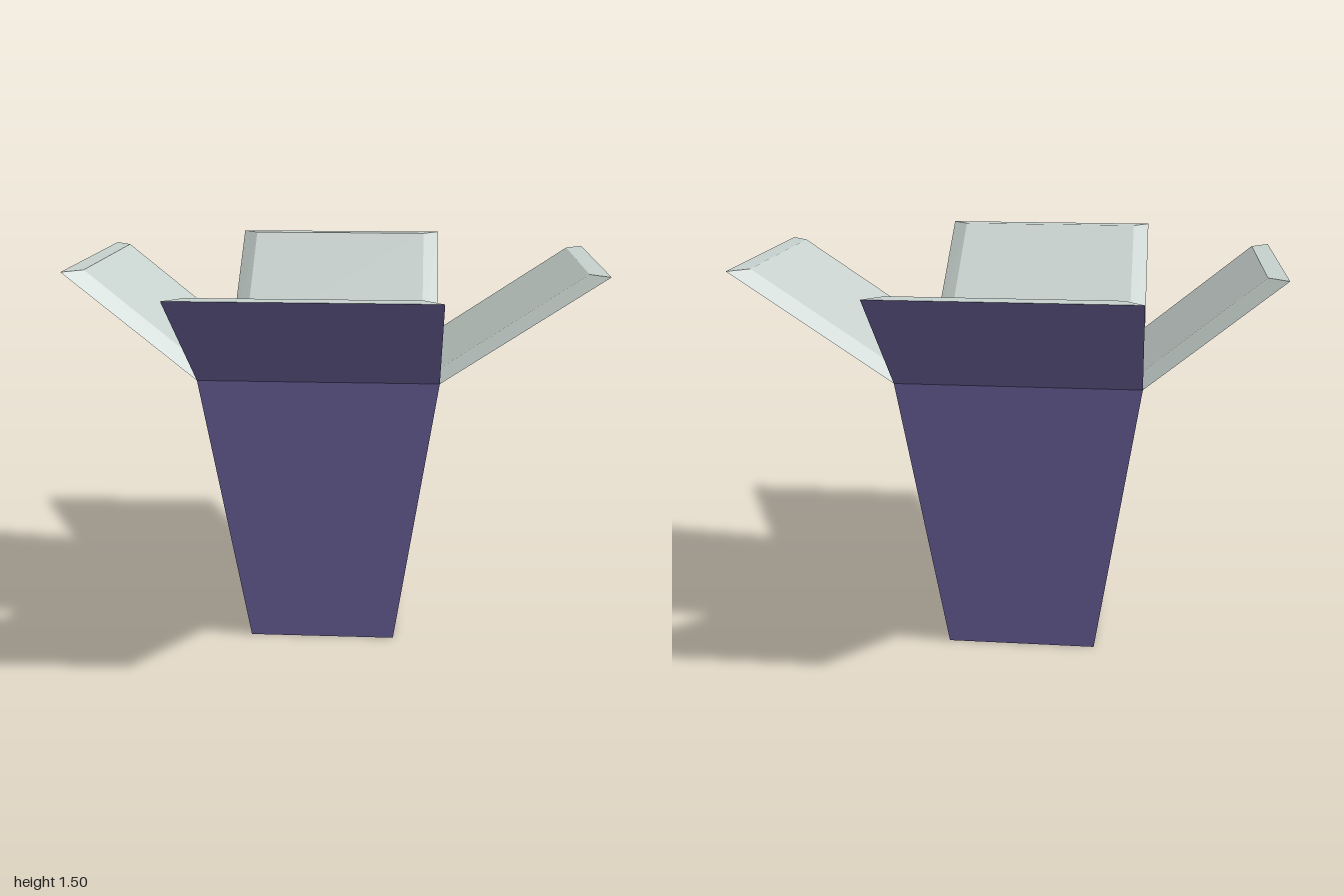
import * as THREE from 'three';

const purple = new THREE.MeshStandardMaterial({ color: 0x6f649f });
purple.name = 'purple card';
const paleGrey = new THREE.MeshStandardMaterial({ color: 0xc6d0cc });
paleGrey.name = 'pale grey lining';
paleGrey.side = THREE.DoubleSide;

// Flat quads, corners counter-clockwise as seen from the visible side
function quads(name, material, list) {
  const points = list.flatMap(([a, b, c, d]) => [a, b, c, a, c, d]);
  const geometry = new THREE.BufferGeometry().setFromPoints(points);
  geometry.computeVertexNormals();
  const mesh = new THREE.Mesh(geometry, material);
  mesh.name = name;
  return mesh;
}

// Four corners of a square level, starting front right of the model
function ring(cx, cz, half, y) {
  return [[-1, 1], [1, 1], [1, -1], [-1, -1]].map(
    ([sx, sz]) => new THREE.Vector3(cx + sx * half, y, cz + sz * half));
}

export function createModel() {
  const box = new THREE.Group();
  box.name = 'openBox';

  const cx = -0.055, cz = -0.06, hingeY = 1.1, tipY = 1.5;
  const base = ring(cx, cz, 0.288, 0);
  const rim = ring(cx, cz, 0.452, hingeY);
  const innerRim = ring(cx, cz, 0.386, hingeY);
  const sides = [
    { name: 'front', axis: 'z', sign: 1 },
    { name: 'left', axis: 'x', sign: 1 },
    { name: 'back', axis: 'z', sign: -1 },
    { name: 'right', axis: 'x', sign: -1 },
  ];

  sides.forEach(({ name, axis, sign }, i) => {
    const j = (i + 1) % 4;
    // Tapered wall, thick at the rim and thin at the floor
    box.add(quads(name + 'Wall', purple, [[base[i], base[j], rim[j], rim[i]]]));
    box.add(quads(name + 'WallLining', paleGrey, [[base[j], base[i], innerRim[i], innerRim[j]]]));

    // Splayed flap with bevelled edges running from rim to tip
    const tip = (p, reach) => {
      const q = p.clone().setY(tipY);
      q[axis] = sign * reach;
      return q;
    };
    const [a, b, c, d] = [rim[i], rim[j], innerRim[i], innerRim[j]];
    const [ta, tb, tc, td] = [tip(a, 1), tip(b, 1), tip(c, 0.93), tip(d, 0.93)];
    const flap = new THREE.Group();
    flap.name = name + 'Flap';
    flap.add(quads(name + 'FlapOutside', purple, [[a, b, tb, ta]]));
    flap.add(quads(name + 'FlapLining', paleGrey, [
      [d, c, tc, td],
      [c, a, ta, tc],
      [b, d, td, tb],
      [tc, ta, tb, td],
    ]));
    box.add(flap);
  });

  // Floor, pale on both faces
  box.add(quads('floor', paleGrey, [base]));
  return box;
}
